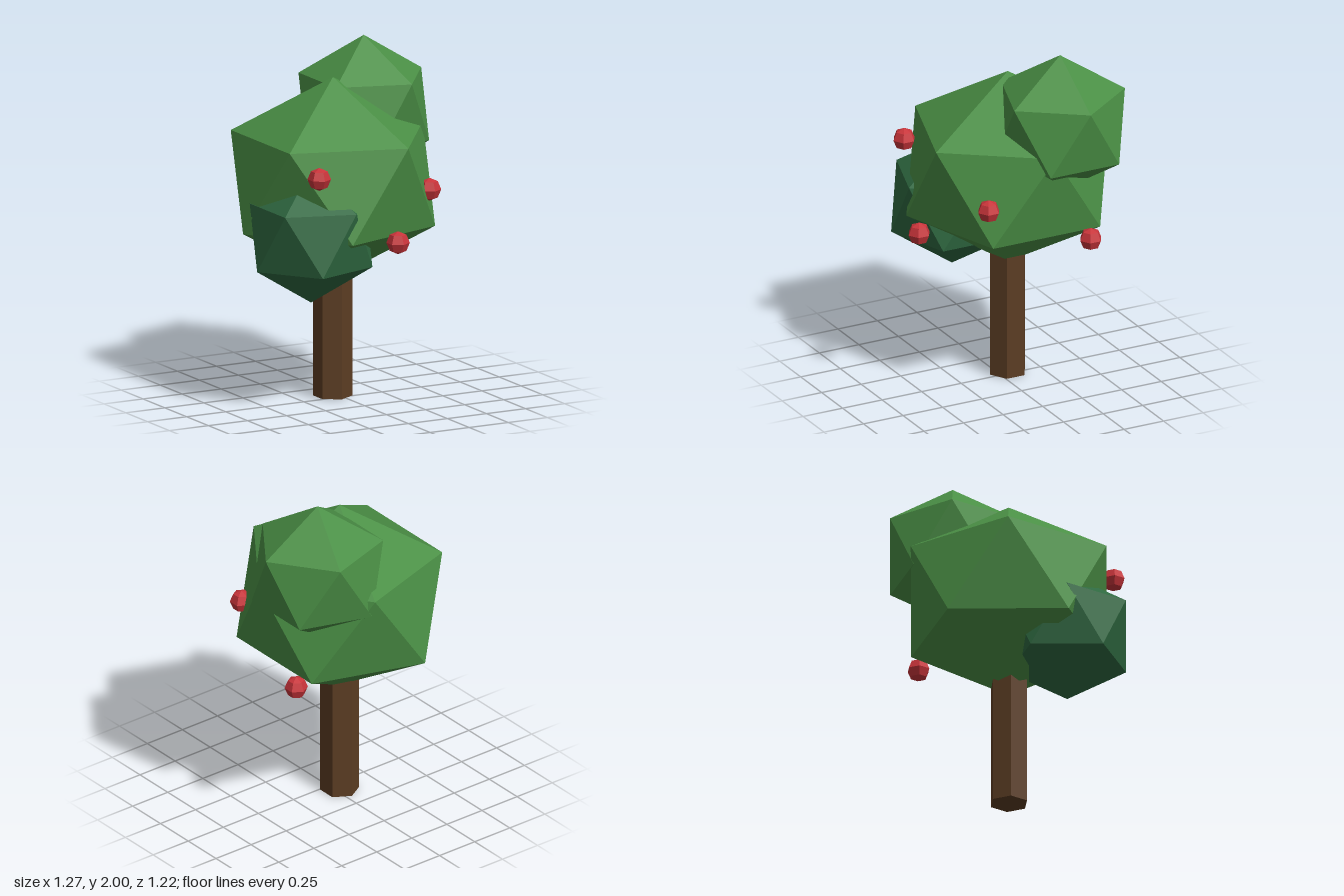
import * as THREE from 'three';
import { ConvexGeometry } from 'three/addons/geometries/ConvexGeometry.js';

function material(name, color) {
  const m = new THREE.MeshStandardMaterial({ color, flatShading: true });
  m.name = name;
  return m;
}

// Twenty-sided ball standing on a corner, with one upper corner towards +x
function foliageGeometry(radius, squash) {
  const points = [new THREE.Vector3(0, radius, 0), new THREE.Vector3(0, -radius, 0)];
  const ring = radius * 2 / Math.sqrt(5);
  const height = radius / Math.sqrt(5);
  for (let i = 0; i < 10; i++) {
    const a = i * Math.PI / 5;
    points.push(new THREE.Vector3(
      Math.cos(a) * ring, i % 2 === 0 ? height : -height, Math.sin(a) * ring));
  }
  return new ConvexGeometry(points).scale(1, squash, 1);
}

export function createModel() {
  const tree = new THREE.Group();
  tree.name = 'appleTree';

  const bark = material('bark brown', 0x5c3d23);
  const leaf = material('leaf green', 0x4a8f45);
  const darkLeaf = material('dark leaf green', 0x2e6840);
  const red = material('apple red', 0xc8343a);

  function add(name, geometry, mat, x, y, z) {
    const mesh = new THREE.Mesh(geometry, mat);
    mesh.name = name;
    mesh.position.set(x, y, z);
    tree.add(mesh);
  }

  // Six-sided trunk, reaching into the crown
  add('trunk', new THREE.CylinderGeometry(0.11, 0.11, 0.86, 6), bark, -0.032, 0.43, -0.06);

  // Three overlapping clumps of leaves
  add('mainCrown', foliageGeometry(0.643, 0.9), leaf, -0.03, 1.248, -0.06);
  add('upperCrown', foliageGeometry(0.411, 1), leaf, 0.265, 1.589, -0.235);
  add('lowerCrown', foliageGeometry(0.386, 1), darkLeaf, -0.29, 0.992, 0.155);

  // Apples
  const appleGeometry = new THREE.SphereGeometry(0.066, 6, 4).rotateY(Math.PI / 6);
  const apples = [
    [-0.38, 1.375, 0.41],
    [0.395, 1.205, 0.285],
    [0.05, 0.99, 0.543],
    [0.48, 0.948, -0.315],
  ];
  apples.forEach(([x, y, z], i) => add(`apple${i + 1}`, appleGeometry, red, x, y, z));

  return tree;
}
